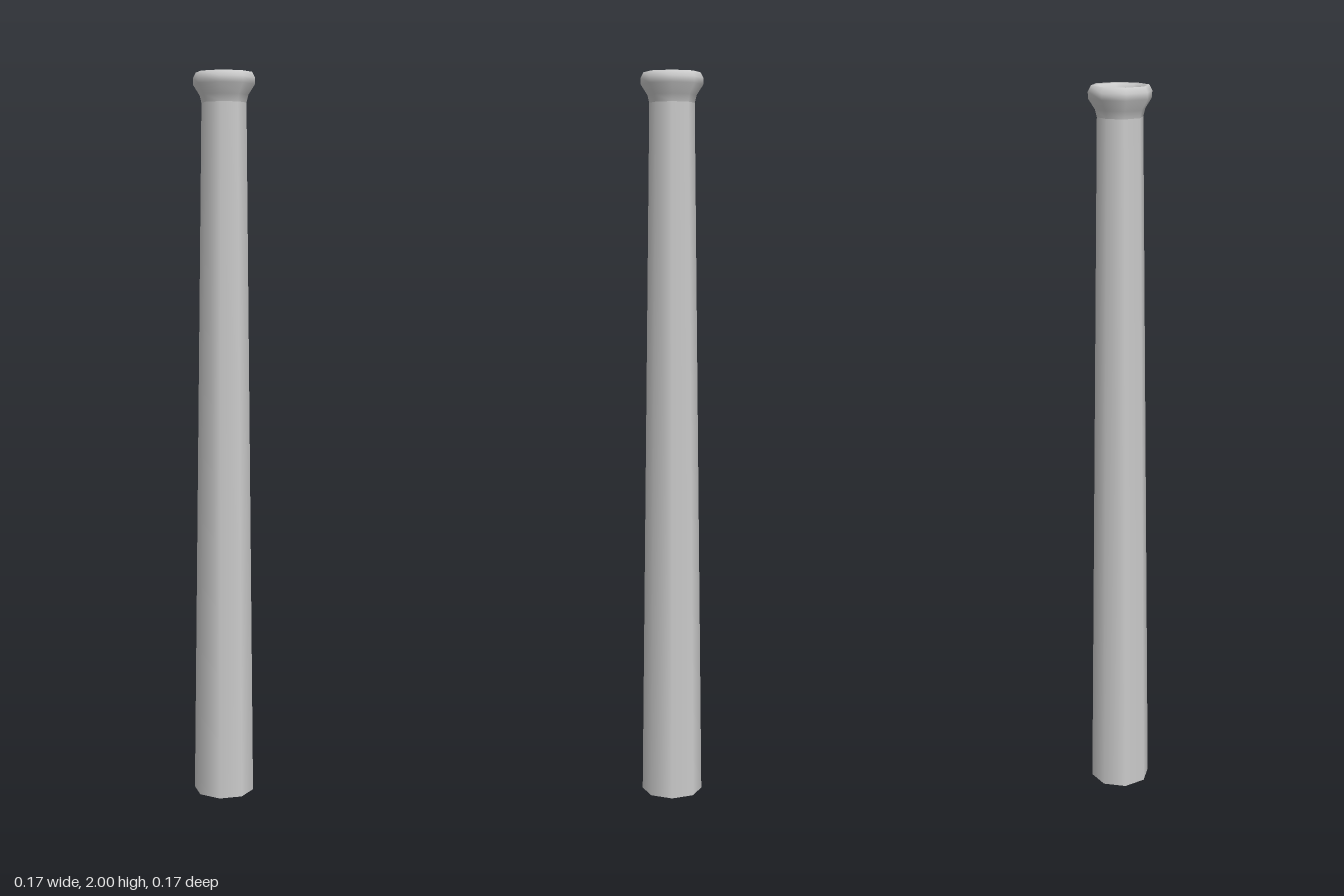
import * as THREE from 'three';

const SIDES = 8;

export function createModel() {
  const group = new THREE.Group();
  const material = new THREE.MeshStandardMaterial({ color: 0xcccccc });

  // Adds an eight-sided turned part from [radius, height] pairs
  function turned(name, profile) {
    const points = profile.map(([r, y]) => new THREE.Vector2(r, y));
    const mesh = new THREE.Mesh(new THREE.LatheGeometry(points, SIDES), material);
    mesh.name = name;
    group.add(mesh);
  }

  // Long tapering shaft
  turned('shaft', [[0.084, 0], [0.061, 1.92]]);

  // Flared lip, rolling over into the shallow cup
  turned('flaredLip', [
    [0.061, 1.92], [0.066, 1.94], [0.084, 1.968], [0.084, 1.985],
    [0.076, 2], [0.066, 1.998], [0.058, 1.985], [0.045, 1.945], [0.04, 1.93],
  ]);

  // Floor of the cup
  turned('cupFloor', [[0.04, 1.93], [0, 1.925]]);

  // Flat underside
  turned('base', [[0, 0], [0.084, 0]]);

  return group;
}
